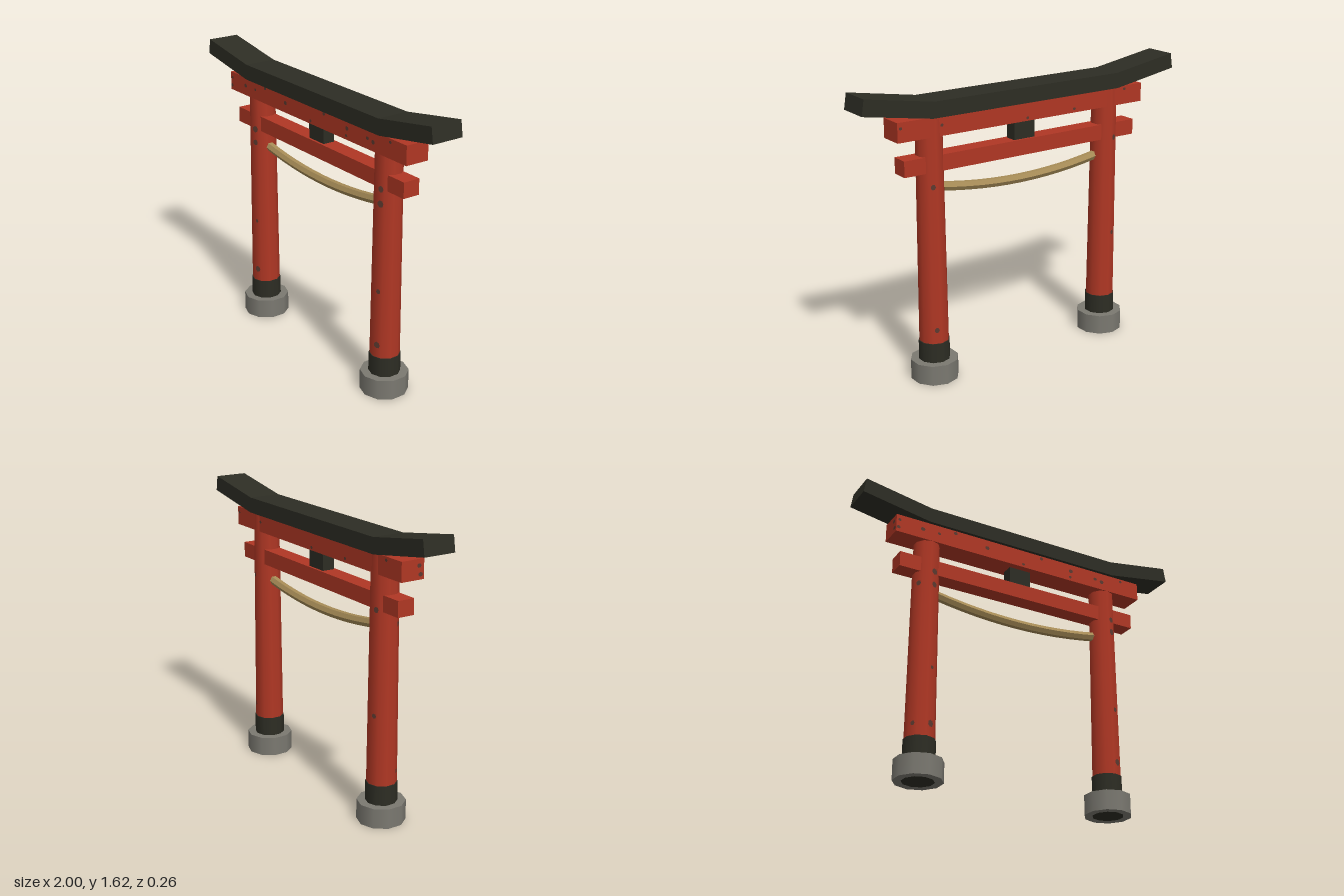
import * as THREE from 'three';

const material = (name, color, extra = {}) => {
  const m = new THREE.MeshStandardMaterial({ color, ...extra });
  m.name = name;
  return m;
};

export function createModel() {
  const red = material('vermilion paint', 0xb03724);
  const dark = material('charcoal wood', 0x2d2d24);
  const stone = material('grey stone', 0x7b7971);
  const straw = material('straw rope', 0xa78c57, { flatShading: true });
  const worn = material('worn patches', 0x5c3a30);

  const gate = new THREE.Group();
  gate.name = 'gate';

  const add = (name, geometry, mat, parent = gate) => {
    const mesh = new THREE.Mesh(geometry, mat);
    mesh.name = name;
    parent.add(mesh);
    return mesh;
  };

  // Box given by its extents along each axis
  const beam = (name, mat, x, y0, y1, z0, z1) => {
    const g = new THREE.BoxGeometry(2 * x, y1 - y0, z1 - z0);
    g.translate(0, (y0 + y1) / 2, (z0 + z1) / 2);
    return add(name, g, mat);
  };

  // Pillars with sleeve and hollow-ringed foot stone
  const SIDES = 10, PILLAR_X = 0.575;
  const BOTTOM = 0.082, TOP = 0.072, Y0 = 0.2, Y1 = 1.47;
  const pillars = {};
  for (const side of [1, -1]) {
    const pillar = new THREE.Group();
    pillar.name = side > 0 ? 'leftPillar' : 'rightPillar';
    pillar.position.x = side * PILLAR_X;
    gate.add(pillar);
    pillars[side] = pillar;

    const shaft = new THREE.CylinderGeometry(TOP, BOTTOM, Y1 - Y0, SIDES, 1, true);
    add('shaft', shaft.translate(0, (Y0 + Y1) / 2, 0), red, pillar);

    const sleeve = new THREE.CylinderGeometry(0.086, 0.087, 0.222, SIDES);
    add('sleeve', sleeve.translate(0, 0.111, 0), dark, pillar);

    const wall = new THREE.CylinderGeometry(0.132, 0.132, 0.112, SIDES, 1, true);
    add('footStone', wall.translate(0, 0.056, 0), stone, pillar);
    for (const [name, y, turn] of [['footStoneTop', 0.112, -1], ['footStoneBottom', 0, 1]]) {
      const ring = new THREE.RingGeometry(0.086, 0.132, SIDES, 1, Math.PI / 2);
      ring.rotateX(turn * Math.PI / 2).translate(0, y, 0);
      add(name, ring, stone, pillar);
    }
  }

  // Crossbeams and central strut
  beam('upperBeam', red, 0.793, 1.363, 1.468, -0.064, 0.073);
  beam('lowerBeam', red, 0.752, 1.173, 1.26, -0.049, 0.049);
  beam('centreStrut', dark, 0.066, 1.26, 1.363, -0.035, 0.035);

  // Top lintel with upswept ends
  const profile = new THREE.Shape([
    [-0.6, 1.468], [0.6, 1.468], [1, 1.535], [0.986, 1.62],
    [0.594, 1.555], [-0.594, 1.555], [-0.986, 1.62], [-1, 1.535],
  ].map(([x, y]) => new THREE.Vector2(x, y)));
  const lintel = new THREE.ExtrudeGeometry(profile, { depth: 0.184, bevelEnabled: false });
  add('topLintel', lintel.translate(0, 0, -0.092), dark);

  // Sagging rope between the pillars
  const sag = new THREE.QuadraticBezierCurve3(
    new THREE.Vector3(-0.515, 1.077, 0),
    new THREE.Vector3(0, 0.983, 0),
    new THREE.Vector3(0.515, 1.077, 0));
  add('rope', new THREE.TubeGeometry(sag, 12, 0.026, 6), straw);

  // Worn paint patches: small uneven discs laid just above the surface
  const patch = (r, squash) => new THREE.CircleGeometry(r, 7).scale(1, squash, 1);

  const beamSpots = [
    [-0.775, 1.437], [-0.78, 1.39], [-0.635, 1.42], [-0.535, 1.42], [-0.435, 1.452],
    [-0.235, 1.418], [0, 1.38], [0.12, 1.45], [0.32, 1.425], [0.315, 1.385],
    [0.49, 1.42], [0.535, 1.412], [0.67, 1.45],
  ];
  beamSpots.forEach(([x, y], i) => {
    const r = 0.010 + 0.002 * (i % 3);
    const front = add('beamPatch', patch(r, 0.85), worn);
    front.position.set(x, y, 0.0745);
    if (i % 3 === 0) {
      const back = add('beamPatch', patch(r, 0.85), worn);
      back.position.set(-x, y, -0.0655);
      back.rotation.y = Math.PI;
    }
  });
  for (const [y, z] of [[1.435, 0.042], [1.39, 0.052]]) {
    const end = add('beamEndPatch', patch(0.014, 0.8), worn);
    end.position.set(-0.7945, y, z);
    end.rotation.y = -Math.PI / 2;
  }

  // Each entry: pillar side, facet number around the shaft, height, radius
  const pillarSpots = [
    [-1, 0, 1.18, 0.018], [-1, 0, 1.10, 0.016], [-1, 0, 0.295, 0.018], [-1, 0, 0.61, 0.01],
    [1, 0, 1.18, 0.016], [1, 0, 1.10, 0.018], [1, 0, 0.61, 0.013], [1, 0, 0.295, 0.018],
    [-1, 8, 1.10, 0.014], [-1, 8, 0.29, 0.012], [1, 4, 1.10, 0.014], [1, 4, 0.3, 0.014],
    [-1, 5, 0.61, 0.013], [-1, 5, 1.18, 0.015],
  ];
  for (const [side, facet, y, r] of pillarSpots) {
    const angle = (facet + 0.5) * 2 * Math.PI / SIDES;
    const radius = THREE.MathUtils.mapLinear(y, Y0, Y1, BOTTOM, TOP);
    const d = radius * Math.cos(Math.PI / SIDES) + 0.0015;
    const spot = add('pillarPatch', patch(r, 1.1), worn, pillars[side]);
    spot.position.set(d * Math.sin(angle), y, d * Math.cos(angle));
    spot.rotation.y = angle;
  }

  return gate;
}
